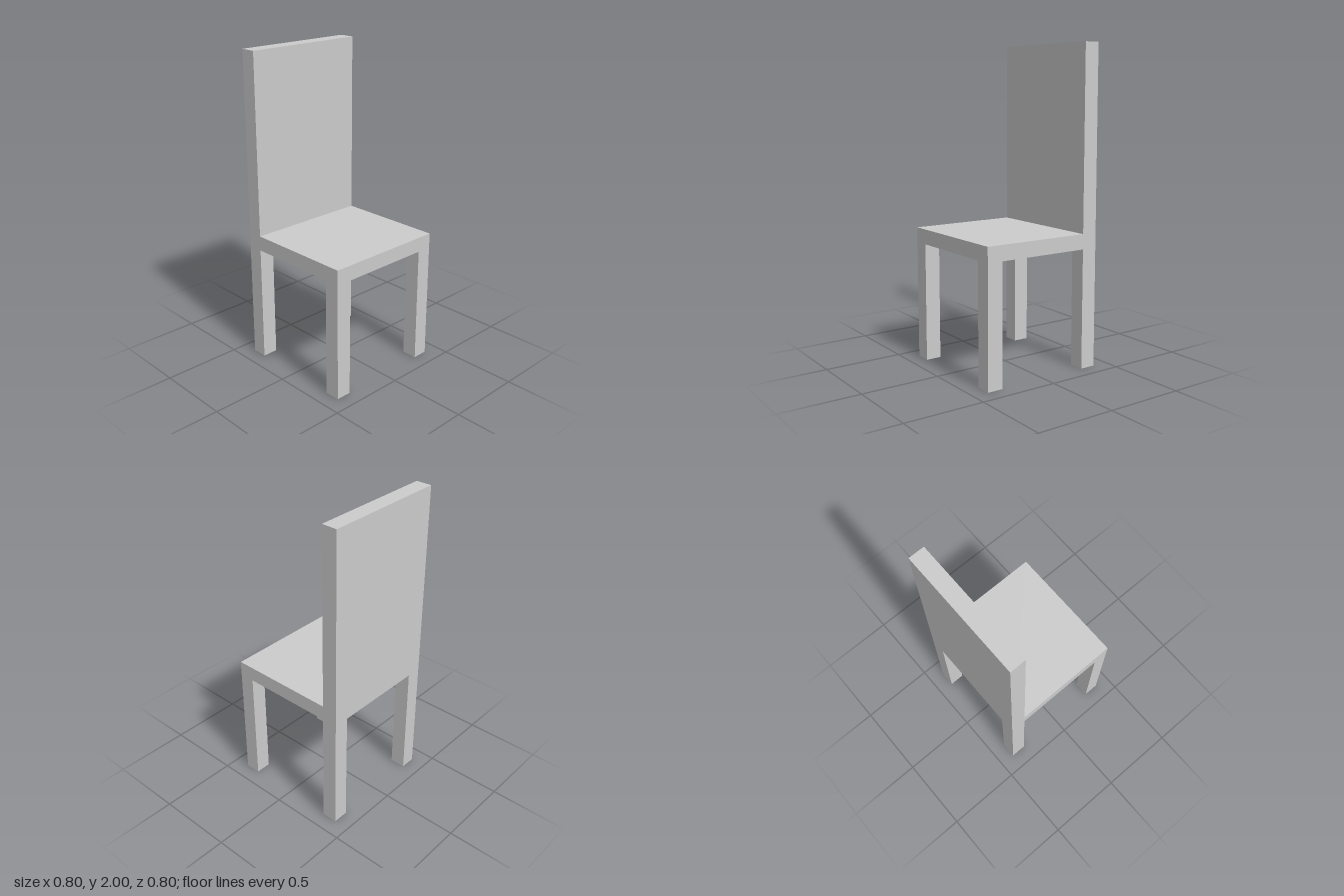
import * as THREE from 'three';

const WIDTH = 0.8;       // seat side length
const THICK = 0.1;       // leg and backrest thickness
const SEAT_BOTTOM = 0.755;
const SEAT_TOP = 0.85;
const HEIGHT = 2;

export function createModel() {
  const chair = new THREE.Group();
  chair.name = 'chair';
  const material = new THREE.MeshStandardMaterial({ color: 0xcccccc, flatShading: true });

  // Box standing on y = bottom, centred on x and z
  function addBox(name, width, depth, bottom, top, x, z) {
    const mesh = new THREE.Mesh(new THREE.BoxGeometry(width, top - bottom, depth), material);
    mesh.name = name;
    mesh.position.set(x, (bottom + top) / 2, z);
    chair.add(mesh);
  }

  const edge = (WIDTH - THICK) / 2;

  // Seat slab
  addBox('seat', WIDTH, WIDTH, SEAT_BOTTOM, SEAT_TOP, 0, 0);

  // Tall backrest panel along the -x edge of the seat
  addBox('backrest', THICK, WIDTH, SEAT_TOP, HEIGHT, -edge, 0);

  // Four square legs, flush with the seat corners
  for (const sx of [-1, 1]) {
    for (const sz of [-1, 1]) {
      const name = (sz > 0 ? 'front' : 'back') + (sx > 0 ? 'Left' : 'Right') + 'Leg';
      addBox(name, THICK, THICK, 0, SEAT_BOTTOM, sx * edge, sz * edge);
    }
  }

  return chair;
}
